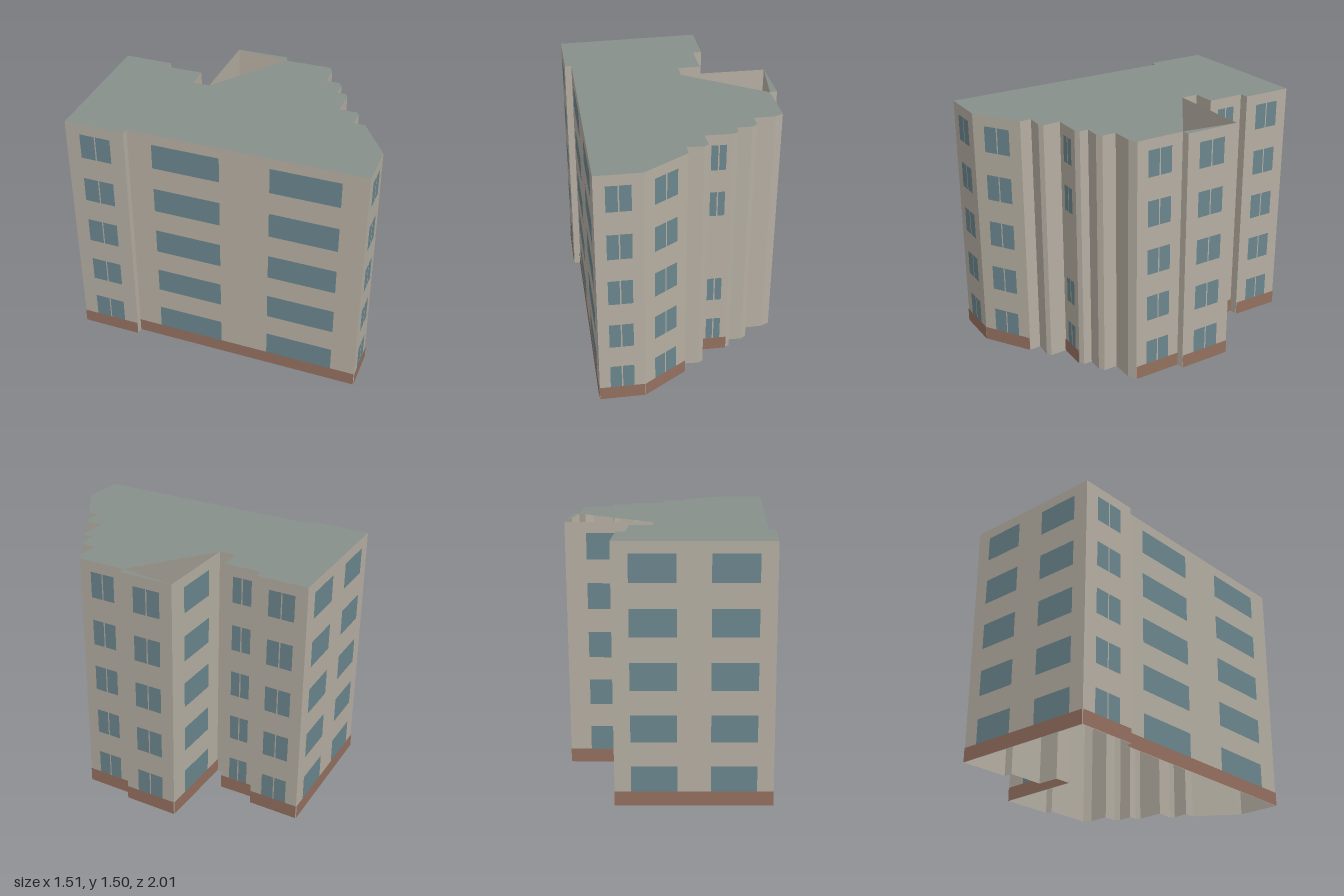
import * as THREE from 'three';

const HEIGHT = 1.5, FLOORS = 5, STOREY = 0.3;

// Footprint corners [x, z], clockwise seen from above. The wall runs to the next corner:
// columns = window columns (0 or absent: blank), panes per window, skip = floor without window.
const CORNERS = [
  { p: [0.09, -1.0], columns: 1, panes: 2 },
  { p: [0.18, -0.71] },
  { p: [0.13, -0.69], columns: 1, panes: 2 },
  { p: [0.2, -0.475] },
  { p: [0.07, -0.43] },
  { p: [0.1, -0.33], columns: 1, panes: 1 },
  { p: [0.6, -0.49], columns: 1, panes: 2 },
  { p: [0.7, -0.18] },
  { p: [0.66, -0.16], columns: 1, panes: 2 },
  { p: [0.75, 0.12] },
  { p: [0.71, 0.16] },
  { p: [0.59, 0.2] },
  { p: [0.615, 0.28] },
  { p: [0.59, 0.31] },
  { p: [0.505, 0.335] },
  { p: [0.52, 0.385] },
  { p: [0.5, 0.41], columns: 1, panes: 2, skip: 2 },
  { p: [0.34, 0.46] },
  { p: [0.375, 0.56] },
  { p: [0.355, 0.585] },
  { p: [0.26, 0.61] },
  { p: [0.28, 0.675], columns: 1, panes: 2 },
  { p: [0.08, 0.92], columns: 1, panes: 2 },
  { p: [-0.175, 1.0], columns: 2, panes: 1 },
  { p: [-0.6, -0.36] },
  { p: [-0.64, -0.35], columns: 1, panes: 2 },
  { p: [-0.75, -0.705], columns: 2, panes: 1 },
];

const paint = (color, side = THREE.FrontSide) => new THREE.MeshStandardMaterial({ color, side });

export function createModel() {
  const model = new THREE.Group();
  model.name = 'apartmentBlock';
  const wallMat = paint(0xb5aea2, THREE.DoubleSide);
  const roofMat = paint(0x87908c, THREE.DoubleSide);
  const glassMat = paint(0x6b868e);
  const plinthMat = paint(0x94705f);

  // Upright rectangle in a wall's own frame
  const panel = (name, w, h, x, y, z, mat) => {
    const mesh = new THREE.Mesh(new THREE.PlaneGeometry(w, h), mat);
    mesh.name = name;
    mesh.position.set(x, y, z);
    return mesh;
  };

  // Walls, each with plinth strip and rows of windows where it has any
  CORNERS.forEach(({ p: a, columns = 0, panes, skip }, i) => {
    const b = CORNERS[(i + 1) % CORNERS.length].p;
    const dx = b[0] - a[0], dz = b[1] - a[1], length = Math.hypot(dx, dz);
    const side = new THREE.Group();
    side.name = columns ? 'windowWall' : 'blankWall';
    side.position.set((a[0] + b[0]) / 2, 0, (a[1] + b[1]) / 2);
    side.rotation.y = Math.atan2(dz, -dx);
    side.add(panel('wall', length, HEIGHT, 0, HEIGHT / 2, 0, wallMat));
    if (columns) side.add(panel('plinth', length, 0.085, 0, 0.0425, 0.004, plinthMat));

    const windowWidth = length * (columns === 1 ? 0.52 : 0.29);
    const gap = 0.008;
    const paneWidth = (windowWidth - gap * (panes - 1)) / panes;
    for (let c = 0; c < columns; c++) {
      const cx = ((c + 0.5) / columns - 0.5) * length;
      for (let f = 0; f < FLOORS; f++) {
        if (f === skip) continue;
        for (let k = 0; k < panes; k++) {
          const x = cx + (k - (panes - 1) / 2) * (paneWidth + gap);
          side.add(panel('windowPane', paneWidth, 0.158, x, 0.156 + f * STOREY, 0.002, glassMat));
        }
      }
    }
    model.add(side);
  });

  // Flat roof, with a triangular opening in front of the projecting wing
  const addRoof = (name, points) => {
    const shape = new THREE.Shape(points.map(([x, z]) => new THREE.Vector2(x, -z)));
    const roof = new THREE.Mesh(new THREE.ShapeGeometry(shape).rotateX(-Math.PI / 2), roofMat);
    roof.name = name;
    roof.position.y = HEIGHT;
    model.add(roof);
  };
  const points = CORNERS.map((c) => c.p);
  addRoof('roof', points.filter((_, i) => i !== 6 && i !== 7));
  addRoof('wingRoof', points.slice(6, 9));

  return model;
}
